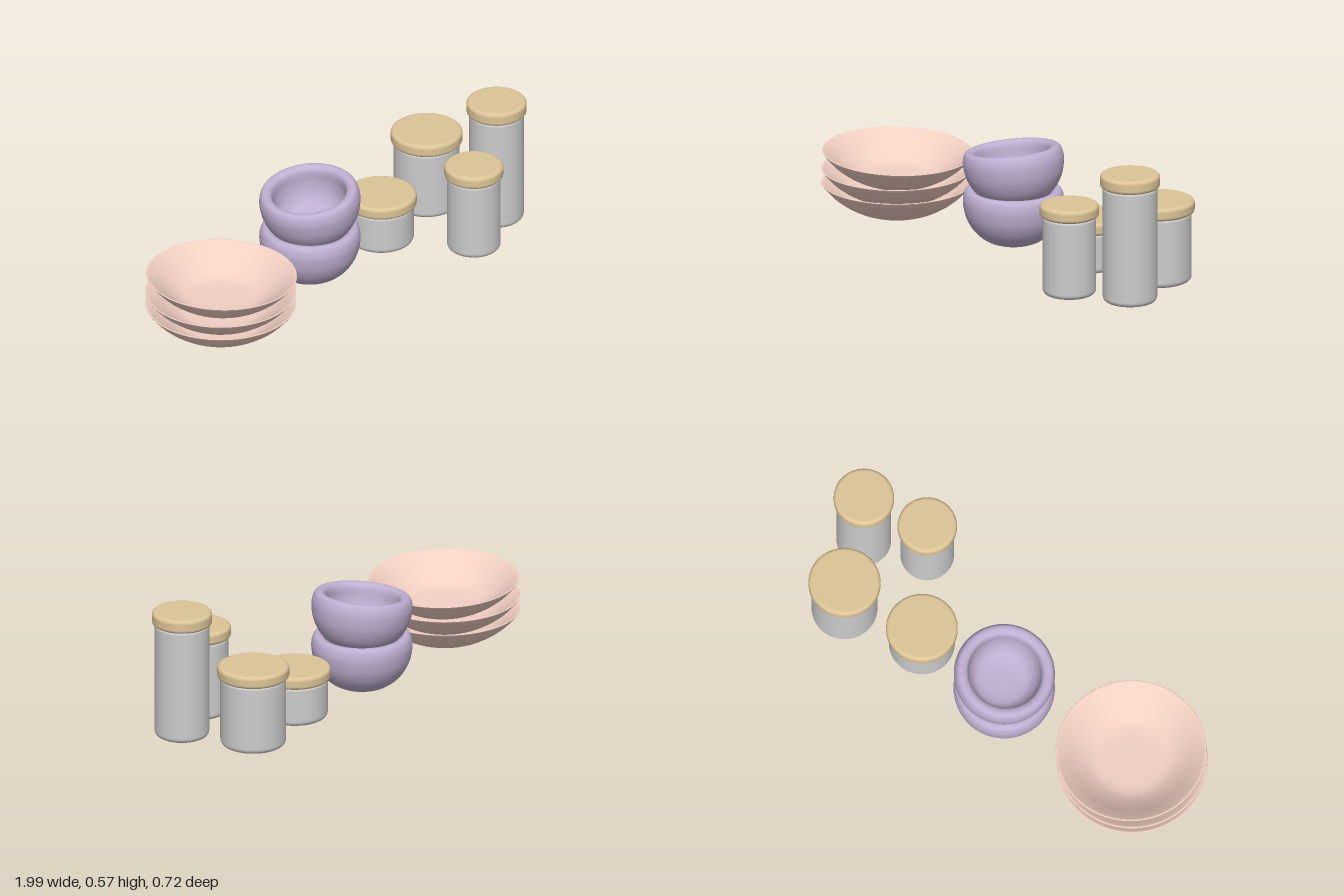
import * as THREE from 'three';

const SEGMENTS = 64;
const material = (color) => new THREE.MeshStandardMaterial({ color });

// Revolve a smooth curve through [radius, height] points, outside first
function turned(name, points, mat, samples = 64) {
  const curve = new THREE.SplineCurve(points.map(([r, y]) => new THREE.Vector2(r, y)));
  const profile = curve.getPoints(samples);
  profile.forEach((p) => { p.x = Math.max(p.x, 0); });
  const mesh = new THREE.Mesh(new THREE.LatheGeometry(profile, SEGMENTS), mat);
  mesh.name = name;
  return mesh;
}

// Round slab from y0 to y1 with filleted edges and a slightly domed base
function roundSlab(name, radius, y0, y1, filletLow, filletHigh, dome, mat) {
  const pts = [new THREE.Vector2(0, y0), new THREE.Vector2((radius - filletLow) * 0.97, y0 + dome * 0.8)];
  const arc = (fillet, cy, start) => {
    for (let i = 0; i <= 8; i++) {
      const a = start + (i / 8) * Math.PI / 2;
      pts.push(new THREE.Vector2(radius - fillet + fillet * Math.cos(a), cy + fillet * Math.sin(a)));
    }
  };
  arc(filletLow, y0 + dome + filletLow, -Math.PI / 2);
  const low = y0 + dome + filletLow, high = y1 - filletHigh;
  pts.push(new THREE.Vector2(radius, low + (high - low) * 0.03));
  pts.push(new THREE.Vector2(radius, low + (high - low) * 0.97));
  arc(filletHigh, high, 0);
  pts.push(new THREE.Vector2((radius - filletHigh) * 0.97, y1), new THREE.Vector2(0, y1));
  const mesh = new THREE.Mesh(new THREE.LatheGeometry(pts, SEGMENTS), mat);
  mesh.name = name;
  return mesh;
}

export function createModel() {
  const model = new THREE.Group();
  model.name = 'kitchenware';
  const grey = material(0xcccccc);
  const tan = material(0xdcc496);
  const pink = material(0xf2d0c3);
  const purple = material(0xbfaed0);

  // Stack of three wide shallow bowls, the top one slightly tilted
  const shallowProfile = [
    [0, 0.006], [0.08, 0.013], [0.16, 0.036], [0.22, 0.066], [0.27, 0.102], [0.305, 0.138],
    [0.319, 0.155], [0.3195, 0.1575], [0.317, 0.159], [0.308, 0.155],
    [0.275, 0.131], [0.23, 0.096], [0.185, 0.067], [0.15, 0.054], [0.1, 0.049], [0, 0.048],
  ];
  const shallowStack = new THREE.Group();
  shallowStack.name = 'shallowBowlStack';
  shallowStack.position.set(-0.68, 0, -0.04);
  [[0, 0], [0.061, 0], [0.136, -0.033]].forEach(([y, tilt], i) => {
    const bowl = turned(`shallowBowl${i + 1}`, shallowProfile, pink, 120);
    bowl.position.y = y;
    bowl.rotation.z = tilt;
    shallowStack.add(bowl);
  });
  model.add(shallowStack);

  // Two deep thick-walled bowls, the upper one resting at an angle
  const deepProfile = [
    [0, 0.006], [0.06, 0.01], [0.12, 0.03], [0.17, 0.072], [0.203, 0.13], [0.215, 0.19],
    [0.212, 0.225], [0.203, 0.245], [0.19, 0.252], [0.175, 0.25], [0.163, 0.241],
    [0.157, 0.222], [0.154, 0.18], [0.142, 0.135], [0.118, 0.1], [0.09, 0.086], [0.05, 0.08], [0, 0.079],
  ];
  const deepStack = new THREE.Group();
  deepStack.name = 'deepBowlStack';
  deepStack.position.set(-0.053, 0, -0.105);
  const pivot = 0.19;
  [[0, 0], [0.178, 0.135]].forEach(([y, tilt], i) => {
    const bowl = turned(`deepBowl${i + 1}`, deepProfile, purple, 100);
    bowl.position.y = -pivot;
    const holder = new THREE.Group();
    holder.name = `deepBowlHolder${i + 1}`;
    holder.position.y = y + pivot;
    holder.rotation.z = tilt;
    holder.add(bowl);
    deepStack.add(holder);
  });
  model.add(deepStack);

  // Four lidded jars: x, z, body radius, lid radius, lid bottom, lid top
  const jars = [
    [0.385, -0.1, 0.14, 0.152, 0.179, 0.234],
    [0.743, -0.168, 0.14, 0.153, 0.31, 0.366],
    [0.86, 0.128, 0.116, 0.128, 0.513, 0.573],
    [0.604, 0.234, 0.114, 0.126, 0.351, 0.407],
  ];
  jars.forEach(([x, z, bodyRadius, lidRadius, lidLow, lidHigh], i) => {
    const jar = new THREE.Group();
    jar.name = `jar${i + 1}`;
    jar.position.set(x, 0, z);
    jar.add(
      roundSlab('jarBody', bodyRadius, 0, lidLow + 0.002, 0.024, 0.012, 0.007, grey),
      roundSlab('jarLid', lidRadius, lidLow, lidHigh, 0.016, 0.016, 0, tan),
    );
    model.add(jar);
  });

  return model;
}
